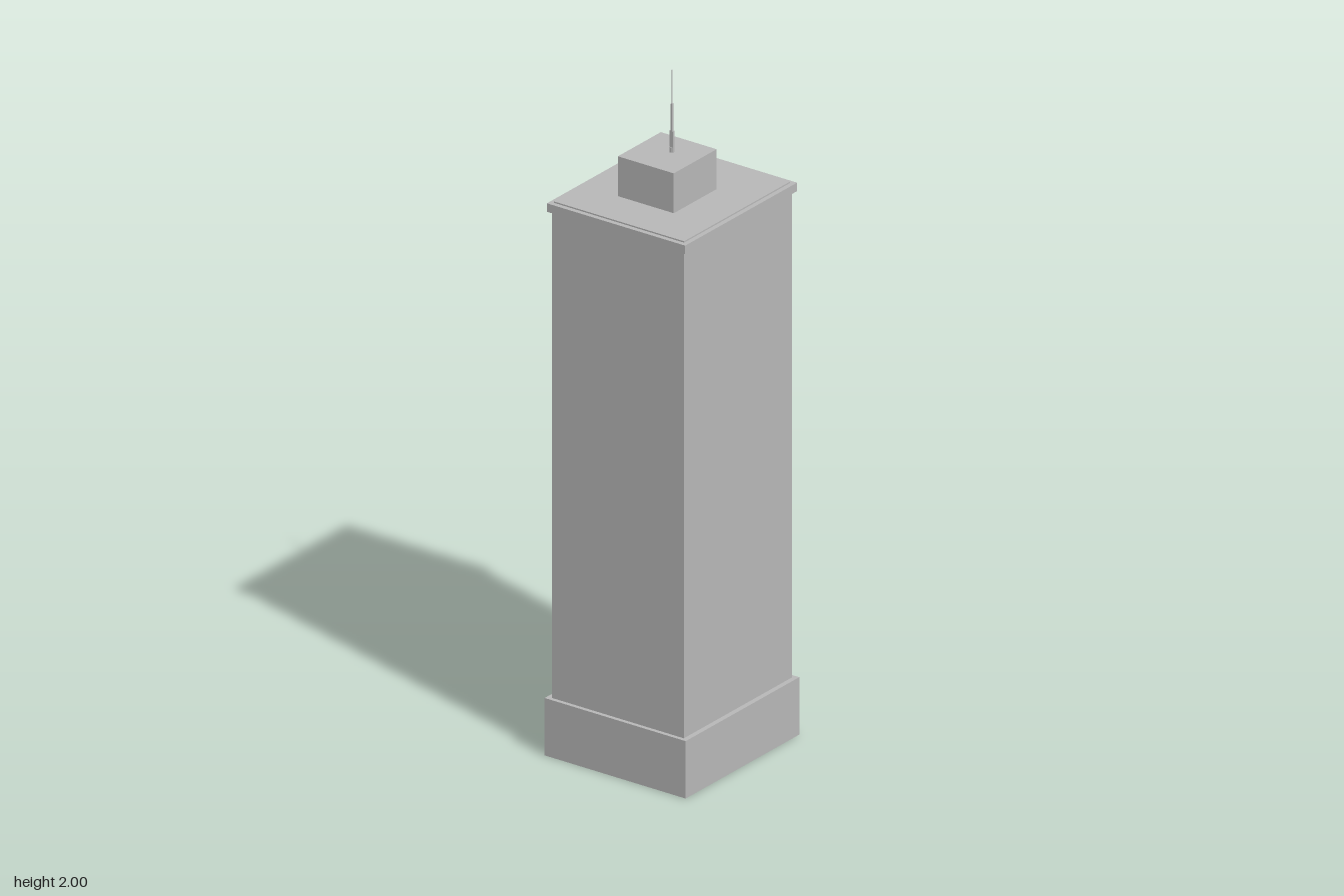
import * as THREE from 'three';

export function createModel() {
  const model = new THREE.Group();
  const concrete = new THREE.MeshStandardMaterial({ color: 0xb8b8b8 });
  concrete.name = 'concreteGrey';

  function add(name, geometry, x, y, z) {
    const mesh = new THREE.Mesh(geometry, concrete);
    mesh.name = name;
    mesh.position.set(x, y, z);
    model.add(mesh);
  }

  // Box standing between two heights
  function block(name, width, depth, bottom, top, x = 0, z = 0) {
    add(name, new THREE.BoxGeometry(width, top - bottom, depth), x, (bottom + top) / 2, z);
  }

  // Upright six-sided rod between two heights
  function rod(name, radius, bottom, top) {
    const geometry = new THREE.CylinderGeometry(radius, radius, top - bottom, 6);
    add(name, geometry.toNonIndexed(), 0, (bottom + top) / 2, 0);
    geometry.dispose();
    model.children.at(-1).geometry.computeVertexNormals();
  }

  // Tower body
  block('podium', 0.516, 0.472, 0, 0.17);
  block('towerShaft', 0.492, 0.442, 0.17, 1.61);
  block('cornice', 0.508, 0.463, 1.61, 1.635);
  block('roofSlab', 0.48, 0.435, 1.635, 1.639);

  // Off-centre plant room on the roof
  block('plantRoom', 0.195, 0.187, 1.635, 1.757, -0.0125, -0.0065);

  // Antenna, thinner towards the tip
  rod('antennaFoot', 0.007, 1.757, 1.772);
  block('antennaBracket', 0.007, 0.013, 1.757, 1.82);
  rod('antennaMast', 0.004, 1.757, 1.9);
  rod('antennaTip', 0.002, 1.9, 2);

  return model;
}
